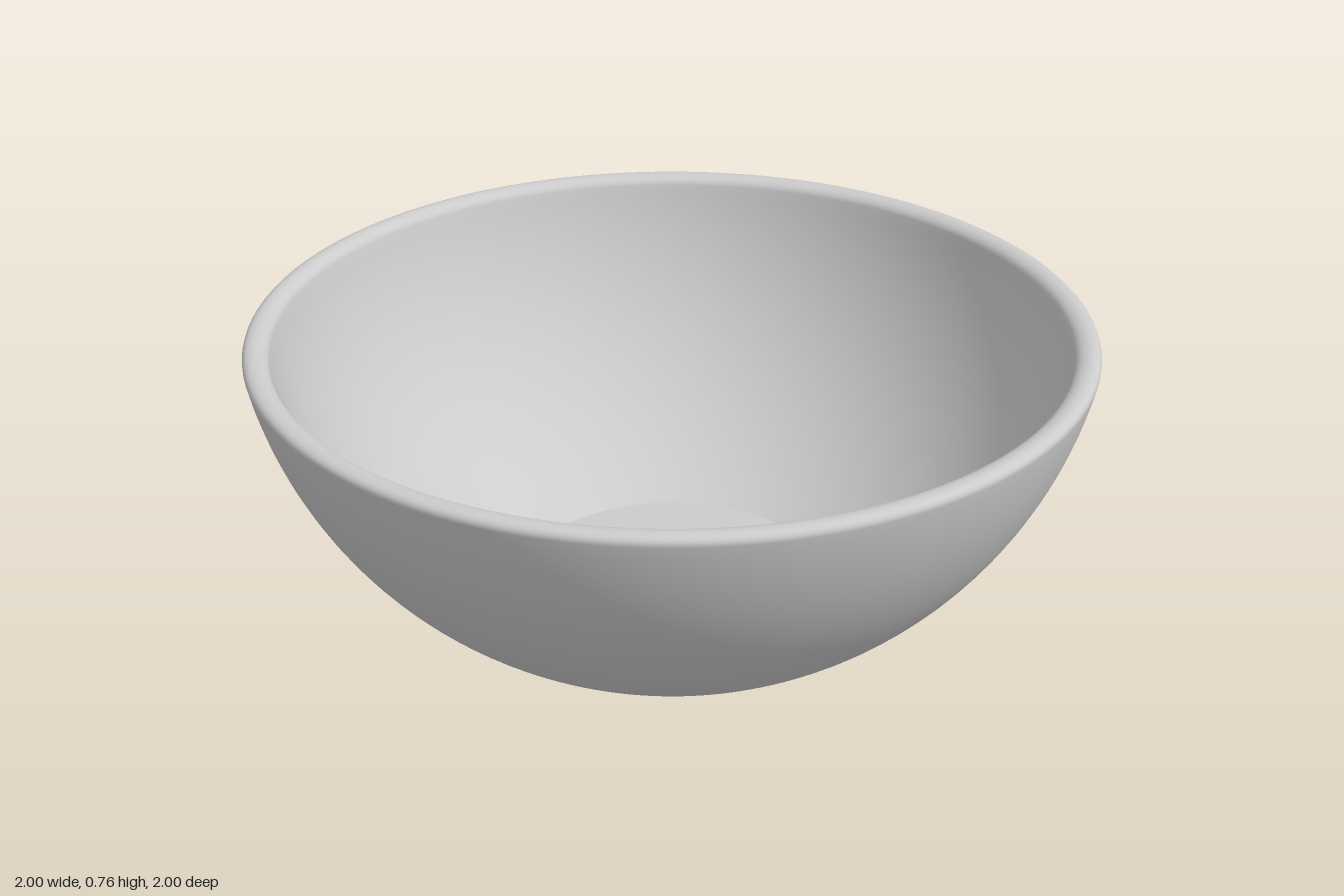
import * as THREE from 'three';

const SEGMENTS = 128;
const CENTRE_Y = 0.943; // centre of the spheres that shape the wall
const OUTER_R = 1.021;
const INNER_R = 0.961;

const material = new THREE.MeshStandardMaterial({ color: 0xcccccc });

// Points on a sphere section between two heights
function arc(radius, y0, y1, steps) {
  const a0 = Math.asin((y0 - CENTRE_Y) / radius);
  const a1 = Math.asin((y1 - CENTRE_Y) / radius);
  return Array.from({ length: steps + 1 }, (_, i) => {
    const a = a0 + ((a1 - a0) * i) / steps;
    return new THREE.Vector2(radius * Math.cos(a), CENTRE_Y + radius * Math.sin(a));
  });
}

function lathe(name, points) {
  const mesh = new THREE.Mesh(new THREE.LatheGeometry(points, SEGMENTS), material);
  mesh.name = name;
  return mesh;
}

export function createModel() {
  const bowl = new THREE.Group();
  bowl.name = 'bowl';

  const outer = arc(OUTER_R, 0, 0.742, 32);
  const inner = arc(INNER_R, 0.742, 0.063, 32);

  // Rounded lip from the outer wall to the inner wall
  const a = outer[outer.length - 1];
  const b = inner[0];
  const lip = new THREE.CubicBezierCurve(
    a,
    new THREE.Vector2(a.x + 0.006, 0.772),
    new THREE.Vector2(b.x + 0.008, 0.772),
    b
  ).getPoints(12).slice(1, -1);

  bowl.add(lathe('wall', [...outer, ...lip, ...inner]));

  // Flat underside and flat inner floor
  bowl.add(lathe('base', [new THREE.Vector2(0, 0), outer[0]]));
  bowl.add(lathe('floor', [inner[inner.length - 1], new THREE.Vector2(0, 0.063)]));

  return bowl;
}
